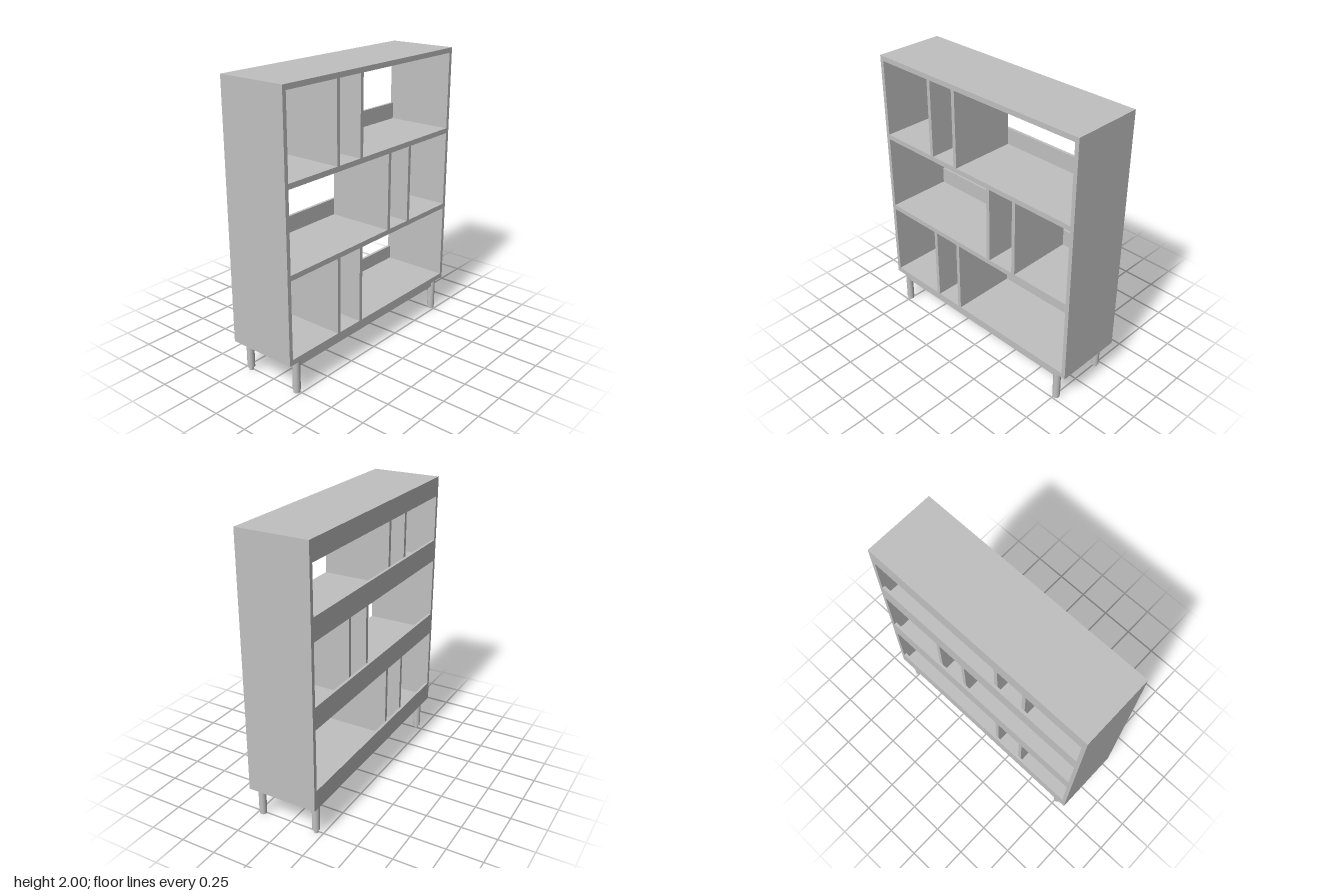
import * as THREE from 'three';

export function createModel() {
  const model = new THREE.Group();
  const grey = new THREE.MeshStandardMaterial({ color: 0xc0c0c0 });
  grey.name = 'light grey';

  // Box given by its minimum and maximum on each axis
  function box(name, x0, x1, y0, y1, z0, z1) {
    const mesh = new THREE.Mesh(new THREE.BoxGeometry(x1 - x0, y1 - y0, z1 - z0), grey);
    mesh.position.set((x0 + x1) / 2, (y0 + y1) / 2, (z0 + z1) / 2);
    mesh.name = name;
    model.add(mesh);
  }

  function cylinder(name, r, x, y0, y1, z) {
    const mesh = new THREE.Mesh(new THREE.CylinderGeometry(r, r, y1 - y0, 24), grey);
    mesh.position.set(x, (y0 + y1) / 2, z);
    mesh.name = name;
    model.add(mesh);
  }

  const W = 0.85, inner = 0.822, D = 0.25, railFront = -0.23;

  // Carcass
  box('topPanel', -W, W, 1.965, 2, -D, D);
  box('bottomPanel', -W, W, 0.235, 0.272, -D, D);
  box('rightSide', -W, -inner, 0.272, 1.965, -D, D);
  box('leftSide', inner, W, 0.272, 1.965, -D, D);

  // Shelves
  for (const y of [0.81, 1.388]) box('shelf', -inner, inner, y, y + 0.036, railFront, D);

  // Low rails along the back
  for (const [y0, y1] of [[0.272, 0.375], [0.81, 0.965], [1.388, 1.543], [1.865, 1.965]]) {
    box('backRail', -inner, inner, y0, y1, -D, railFront);
  }

  // Paired dividers in each bay
  const bays = [[0.272, 0.81, -0.39], [0.846, 1.388, 0.135], [1.424, 1.965, -0.39]];
  for (const [y0, y1, x] of bays) {
    for (const dx of [0, 0.225]) box('divider', x + dx, x + dx + 0.027, y0, y1, railFront, D);
  }

  // Legs, adjustable feet and mounting plates
  for (const s of [-1, 1]) {
    const x = s * 0.76;
    cylinder('frontLeg', 0.026, x, 0.022, 0.235, 0.217);
    cylinder('frontFoot', 0.023, x, 0, 0.022, 0.217);
    cylinder('backLeg', 0.026, x, 0.025, 0.235, -0.2);
    cylinder('backFoot', 0.015, x, 0, 0.025, -0.2);
    const [x0, x1] = s > 0 ? [0.66, 0.82] : [-0.82, -0.66];
    box('frontPlate', x0, x1, 0.229, 0.235, 0.115, 0.24);
    box('backPlate', x0, x1, 0.229, 0.235, -0.245, -0.16);
  }

  // Rail between the front legs
  box('frontApron', -0.74, 0.74, 0.185, 0.229, 0.206, 0.228);

  return model;
}
